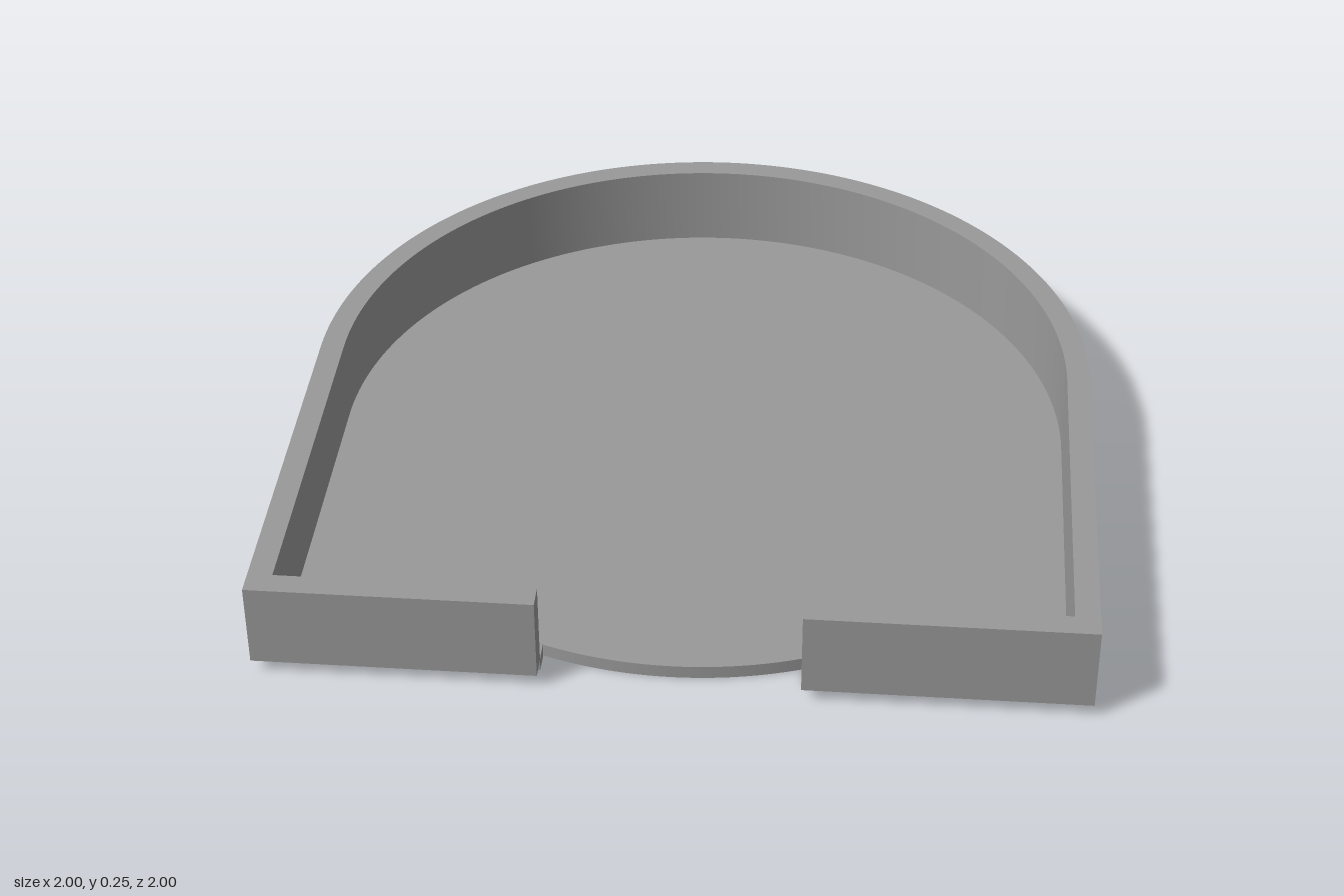
import * as THREE from 'three';
import { toCreasedNormals } from 'three/addons/utils/BufferGeometryUtils.js';

const OUTER = 1, INNER = 0.94, NOTCH = 0.313;
const FLOOR_TOP = 0.034, WALL_TOP = 0.252;

// Extrude a plan shape (shape y = -z) upward between two heights
function slab(shape, y0, y1) {
  const geo = new THREE.ExtrudeGeometry(shape, { depth: y1 - y0, bevelEnabled: false, curveSegments: 64 });
  geo.rotateX(-Math.PI / 2);
  geo.translate(0, y0, 0);
  return toCreasedNormals(geo, Math.PI / 6);
}

export function createModel() {
  const group = new THREE.Group();
  group.name = 'archedTray';
  const grey = new THREE.MeshStandardMaterial({ color: 0x999999 });
  grey.name = 'grey';

  // Floor plate: rounded back, square front with a curved-edge notch
  const floorShape = new THREE.Shape();
  const a = Math.acos(NOTCH / INNER);
  floorShape.moveTo(INNER, 0);
  floorShape.absarc(0, 0, INNER, 0, Math.PI, false);
  floorShape.lineTo(-INNER, -INNER);
  floorShape.lineTo(-NOTCH, -INNER);
  floorShape.absarc(0, 0, INNER, Math.PI + a, 2 * Math.PI - a, false);
  floorShape.lineTo(NOTCH, -INNER);
  floorShape.lineTo(INNER, -INNER);
  floorShape.closePath();
  const floor = new THREE.Mesh(slab(floorShape, 0, FLOOR_TOP), grey);
  floor.name = 'floor';

  // Rim wall: open at the front, overhanging the floor plate
  const wallShape = new THREE.Shape();
  wallShape.moveTo(NOTCH, -OUTER);
  wallShape.lineTo(OUTER, -OUTER);
  wallShape.lineTo(OUTER, 0);
  wallShape.absarc(0, 0, OUTER, 0, Math.PI, false);
  wallShape.lineTo(-OUTER, -OUTER);
  wallShape.lineTo(-NOTCH, -OUTER);
  wallShape.lineTo(-NOTCH, -INNER);
  wallShape.lineTo(-INNER, -INNER);
  wallShape.lineTo(-INNER, 0);
  wallShape.absarc(0, 0, INNER, Math.PI, 0, true);
  wallShape.lineTo(INNER, -INNER);
  wallShape.lineTo(NOTCH, -INNER);
  wallShape.closePath();
  const wall = new THREE.Mesh(slab(wallShape, FLOOR_TOP, WALL_TOP), grey);
  wall.name = 'rimWall';

  group.add(floor, wall);
  return group;
}
